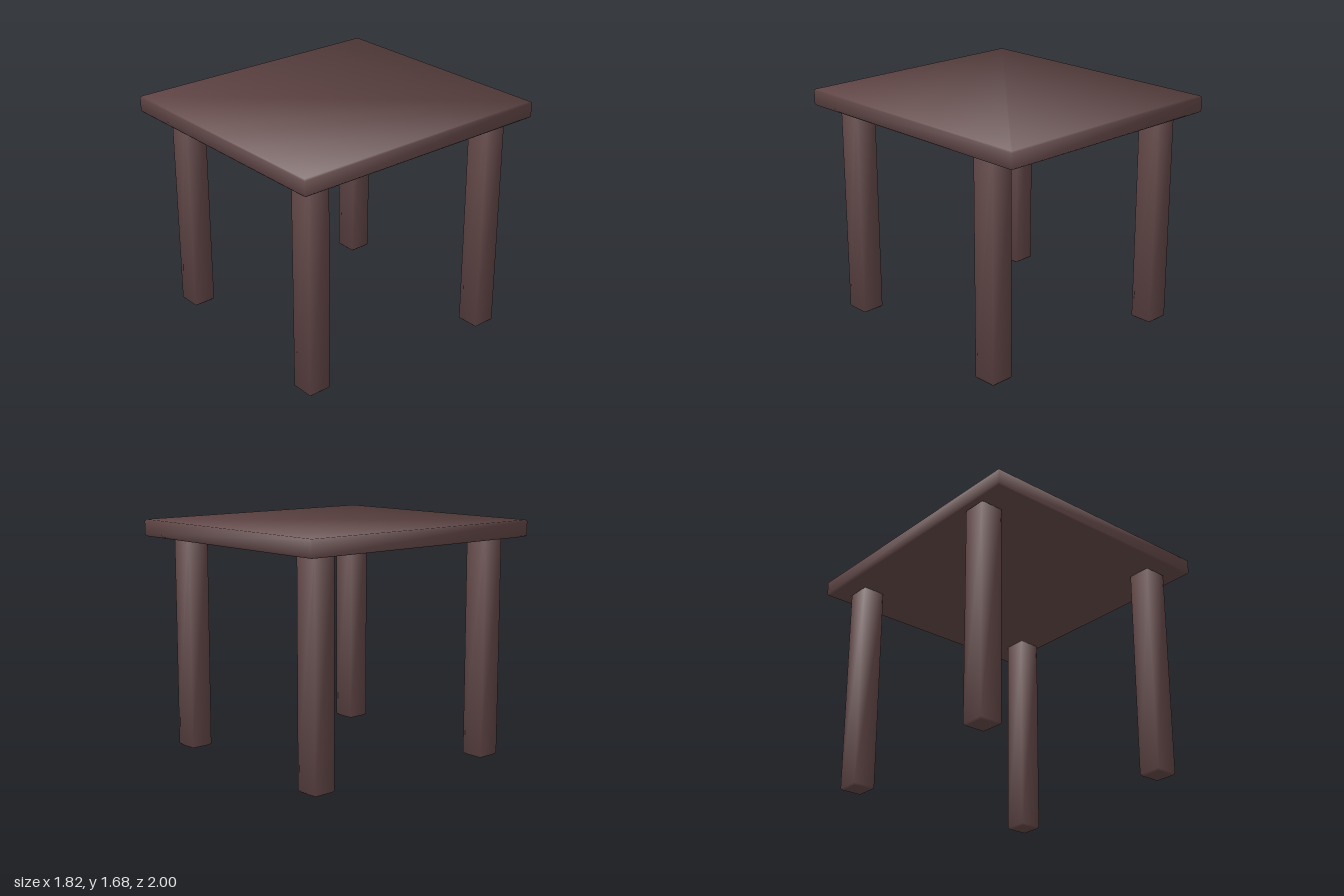
import * as THREE from 'three';

// Box with chamfered top and bottom rims and soft shading across all edges
function softBox(w, h, d, bevel) {
  const geo = new THREE.BoxGeometry(w, h, d, 1, 3, 1);
  const pos = geo.attributes.position;
  const n = new THREE.Vector3();
  for (let i = 0; i < pos.count; i++) {
    const sx = Math.sign(pos.getX(i));
    const sy = Math.sign(pos.getY(i));
    const sz = Math.sign(pos.getZ(i));
    const rim = Math.abs(pos.getY(i)) > h / 2 - 1e-4;
    const inset = rim ? bevel : 0;
    pos.setXYZ(i, sx * (w / 2 - inset), sy * (h / 2 - (rim ? 0 : bevel)), sz * (d / 2 - inset));
    n.set(sx, sy * (rim ? 1.4 : 0.4), sz).normalize();
    geo.attributes.normal.setXYZ(i, n.x, n.y, n.z);
  }
  return geo;
}

export function createModel() {
  const model = new THREE.Group();
  model.name = 'table';

  const darkWood = new THREE.MeshStandardMaterial({ color: 0x624646 });
  darkWood.name = 'darkWood';

  // Flat slab
  const top = new THREE.Mesh(softBox(1.824, 0.12, 2, 0.01), darkWood);
  top.name = 'tableTop';
  top.position.y = 1.62;
  model.add(top);

  // Four upright square legs, set out in a slight pinwheel
  const legGeometry = softBox(0.168, 1.565, 0.168, 0.012);
  const legs = [
    ['frontLeftLeg', 0.695, 0.785],
    ['backLeftLeg', 0.782, -0.695],
    ['backRightLeg', -0.695, -0.782],
    ['frontRightLeg', -0.782, 0.695],
  ];
  for (const [name, x, z] of legs) {
    const leg = new THREE.Mesh(legGeometry, darkWood);
    leg.name = name;
    leg.position.set(x, 0.7825, z);
    model.add(leg);
  }

  return model;
}
